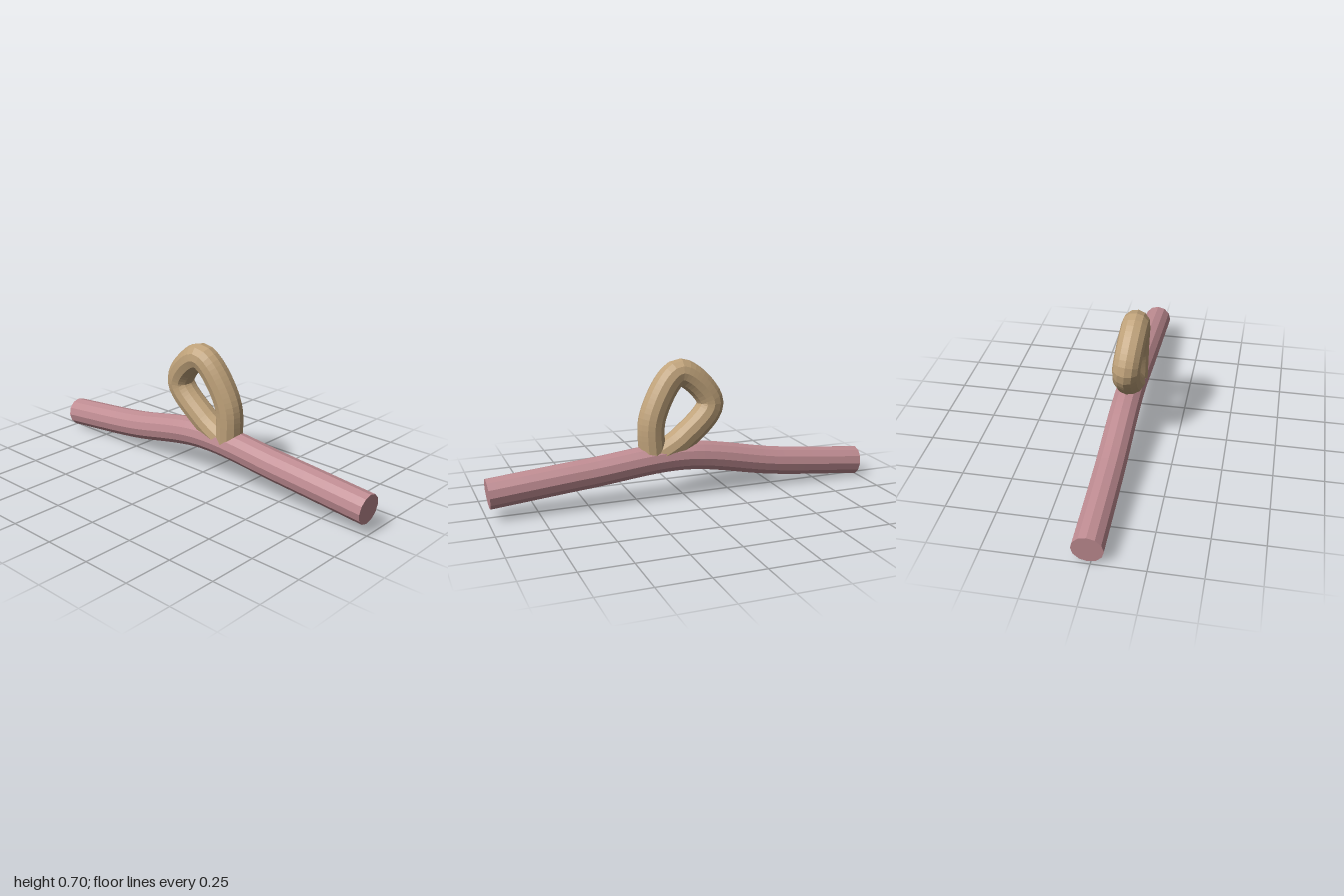
import * as THREE from 'three';

const SIDES = 12;

// Faceted tube along a smooth curve, closed with flat discs at both ends
function cappedTube(name, points, radius, segments, color) {
  const group = new THREE.Group();
  group.name = name;
  const curve = new THREE.CatmullRomCurve3(points.map((p) => new THREE.Vector3(...p)));
  const material = new THREE.MeshStandardMaterial({ color, flatShading: true });

  const tube = new THREE.Mesh(new THREE.TubeGeometry(curve, segments, radius, SIDES), material);
  tube.name = name + 'Tube';
  group.add(tube);

  for (const end of [0, 1]) {
    const cap = new THREE.Mesh(new THREE.CircleGeometry(radius, SIDES), material);
    const outward = curve.getTangentAt(end).multiplyScalar(end ? 1 : -1);
    cap.name = name + (end ? 'EndCap' : 'StartCap');
    cap.position.copy(curve.getPointAt(end));
    cap.lookAt(cap.position.clone().add(outward));
    group.add(cap);
  }
  return group;
}

export function createModel() {
  const model = new THREE.Group();
  model.name = 'loopOnBranch';

  // Long, gently arched bar
  model.add(cappedTube('bar', [
    [-0.993, 0.08, -0.014],
    [-0.5, 0.133, -0.014],
    [0, 0.214, -0.014],
    [0.5, 0.175, -0.014],
    [0.991, 0.13, -0.014],
  ], 0.075, 48, 0xbf8c92));

  // Loop rising from the bar, both ends buried in it
  model.add(cappedTube('loop', [
    [0.165, 0.2, -0.012],
    [0.16, 0.43, -0.004],
    [0.012, 0.636, 0.021],
    [-0.15, 0.475, 0.003],
    [0.0, 0.305, -0.01],
    [0.15, 0.215, -0.014],
  ], 0.069, 48, 0xbfa27a));

  return model;
}
